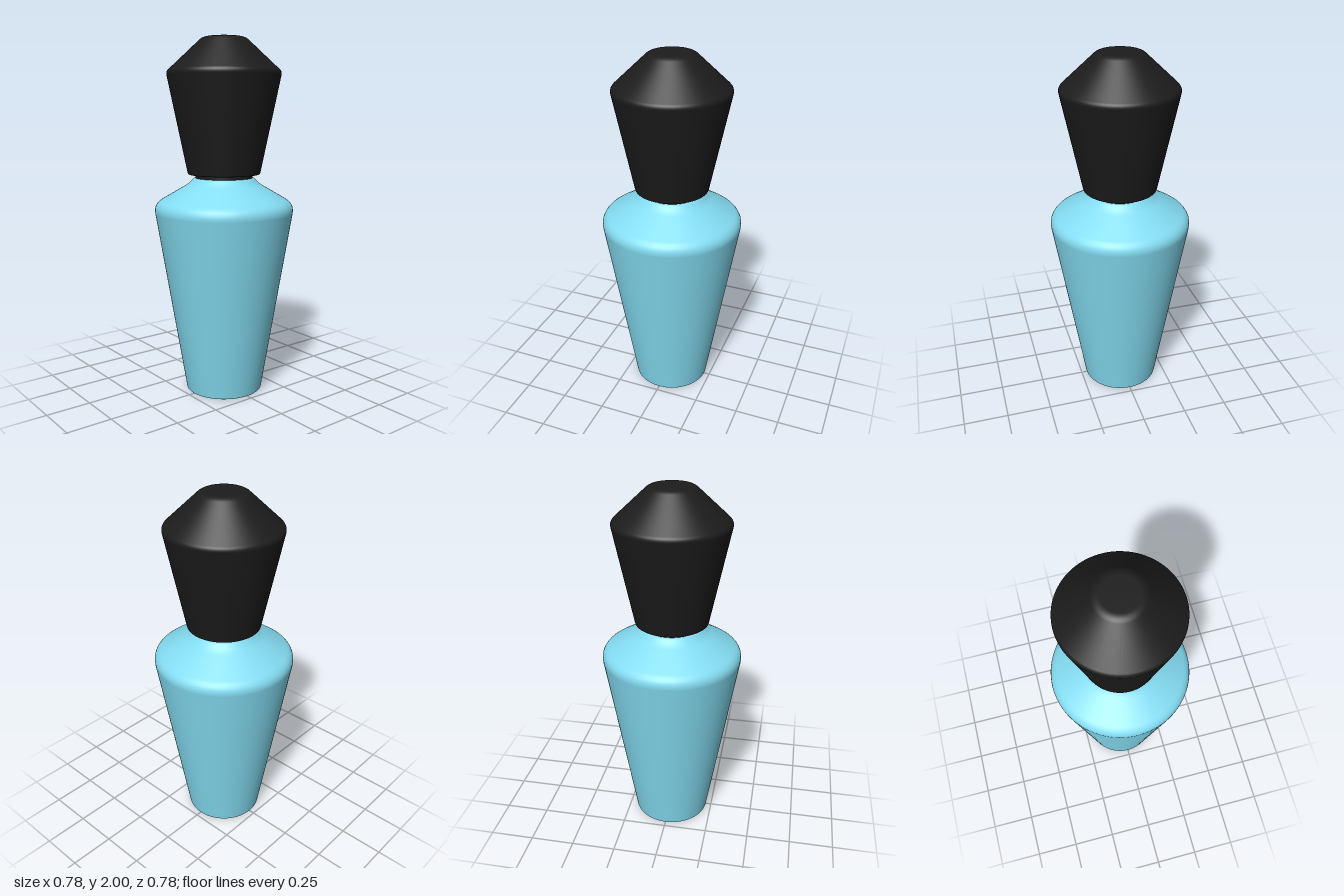
import * as THREE from 'three';

// Turns corners [radius, height, rounding] into a lathe profile with softened corners
function roundedProfile(corners, steps = 5) {
  const pts = corners.map(([r, y]) => new THREE.Vector2(r, y));
  const out = [pts[0]];
  for (let i = 1; i < pts.length - 1; i++) {
    const p = pts[i], round = corners[i][2];
    const toward = (q) => p.clone().add(q.clone().sub(p).setLength(round));
    const curve = new THREE.QuadraticBezierCurve(toward(pts[i - 1]), p, toward(pts[i + 1]));
    out.push(...curve.getPoints(steps));
  }
  out.push(pts[pts.length - 1]);
  return out;
}

function turned(name, corners, color) {
  const geometry = new THREE.LatheGeometry(roundedProfile(corners), 96);
  const mesh = new THREE.Mesh(geometry, new THREE.MeshStandardMaterial({ color }));
  mesh.name = name;
  return mesh;
}

export function createModel() {
  const group = new THREE.Group();
  group.name = 'bottle';
  const blue = 0x84dcf2, black = 0x1c1c1c;

  // Tapered bottle with a recessed base, rounded shoulder and short lip
  group.add(turned('bottleBody', [
    [0, 0.1],
    [0.19, 0.1, 0.03],
    [0.205, 0, 0.004],
    [0.217, 0, 0.004],
    [0.397, 1.08, 0.05],
    [0.2, 1.195, 0.025],
    [0.17, 1.228, 0.008],
    [0, 1.228],
  ], blue));

  // Thin collar between the bottle and the cap
  group.add(turned('neck', [
    [0, 1.2],
    [0.162, 1.2, 0.003],
    [0.162, 1.26, 0.003],
    [0, 1.26],
  ], black));

  // Flared cap with a sloping crown and a small flat top
  group.add(turned('cap', [
    [0, 1.248],
    [0.203, 1.248, 0.008],
    [0.32, 1.812, 0.018],
    [0.118, 2, 0.025],
    [0, 2],
  ], black));

  return group;
}
